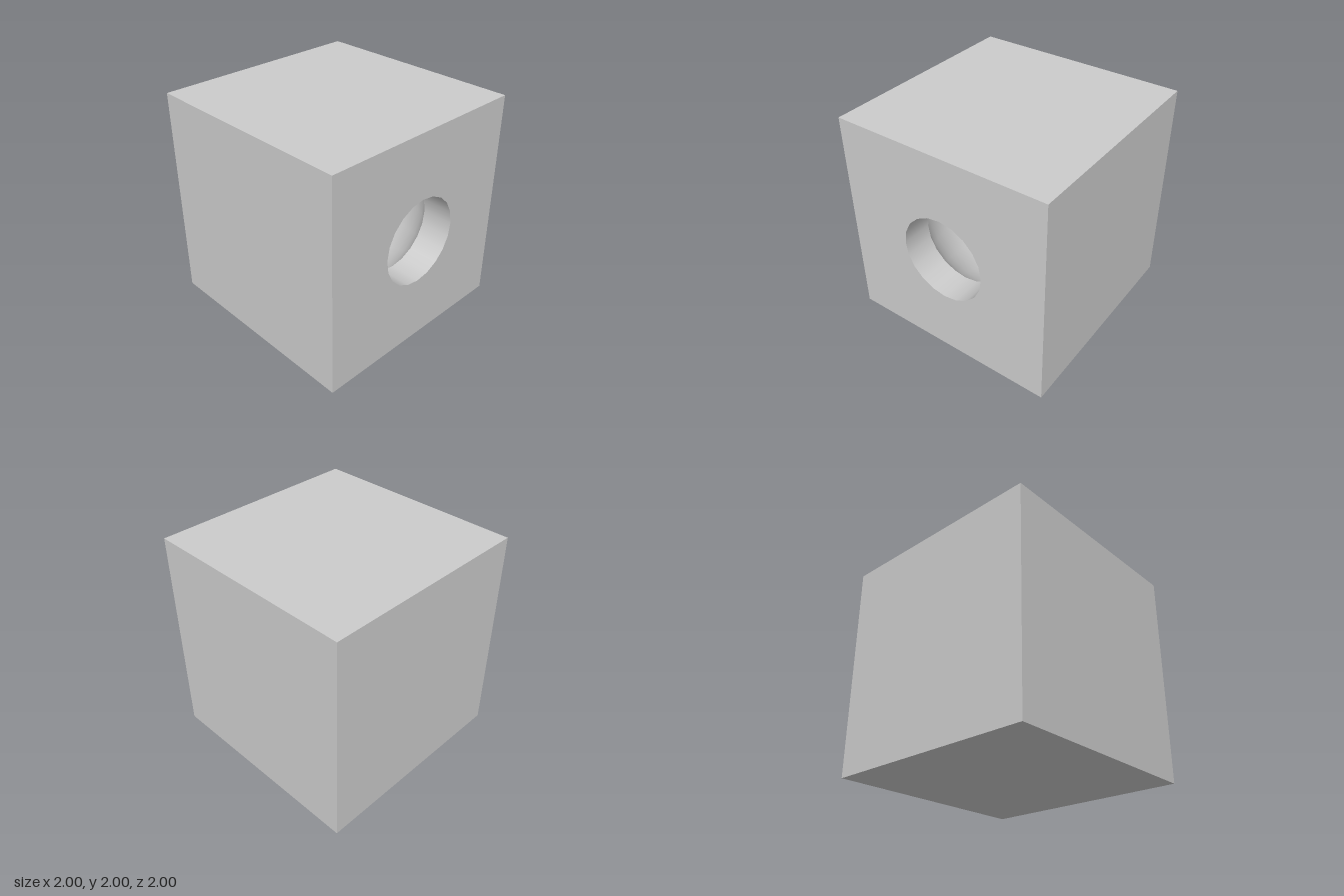
import * as THREE from 'three';

const SIDES = 20;
const HOLE_RADIUS = 0.4;
const CAVITY_RADIUS = 0.82;
const BORE_END = Math.sqrt(CAVITY_RADIUS ** 2 - HOLE_RADIUS ** 2);

export function createModel() {
  const model = new THREE.Group();
  model.name = 'hollowCube';
  const material = new THREE.MeshStandardMaterial({ color: 0xcccccc });

  const add = (name, geometry) => {
    const mesh = new THREE.Mesh(geometry, material);
    mesh.name = name;
    mesh.position.y = 1;
    model.add(mesh);
  };

  // Turned surface about the z axis; a profile running back along z faces inward
  const turned = (profile) => new THREE.LatheGeometry(profile, SIDES).rotateX(Math.PI / 2);

  // Five closed sides: a box without its front face
  const box = new THREE.BoxGeometry(2, 2, 2);
  const index = Array.from(box.index.array);
  index.splice(24, 6);
  box.setIndex(index);
  box.clearGroups();
  add('cubeSides', box);

  // Front face with the round opening
  const face = new THREE.Shape([[-1, -1], [1, -1], [1, 1], [-1, 1]].map(([x, y]) => new THREE.Vector2(x, y)));
  const rim = [];
  for (let i = 0; i < SIDES; i++) {
    const a = (-i / SIDES) * Math.PI * 2;
    rim.push(new THREE.Vector2(Math.cos(a) * HOLE_RADIUS, Math.sin(a) * HOLE_RADIUS));
  }
  face.holes.push(new THREE.Path(rim));
  add('frontFace', new THREE.ShapeGeometry(face).translate(0, 0, 1));

  // Straight bore from the opening to the cavity
  add('bore', turned([new THREE.Vector2(HOLE_RADIUS, 1), new THREE.Vector2(HOLE_RADIUS, BORE_END)]));

  // Spherical cavity inside the cube, open where the bore meets it
  const start = Math.asin(HOLE_RADIUS / CAVITY_RADIUS);
  const arc = [];
  for (let i = 0; i <= 16; i++) {
    const a = start + (Math.PI - start) * (i / 16);
    arc.push(new THREE.Vector2(Math.max(0, Math.sin(a) * CAVITY_RADIUS), Math.cos(a) * CAVITY_RADIUS));
  }
  add('cavity', turned(arc));

  return model;
}
